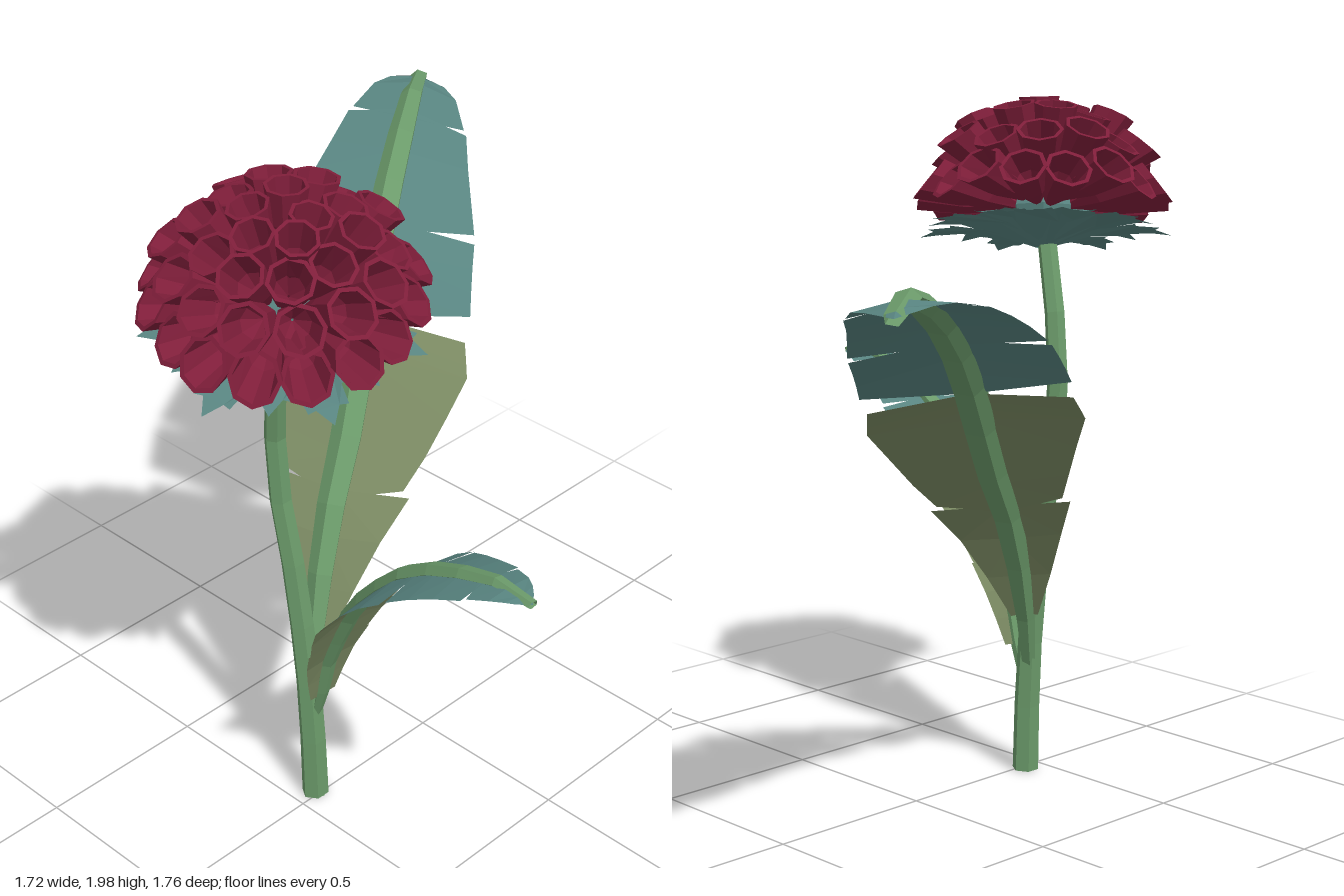
import * as THREE from 'three';
import { mergeGeometries } from 'three/addons/utils/BufferGeometryUtils.js';

const V = (x, y, z) => new THREE.Vector3(x, y, z);
const mat = (name, color) => {
  const m = new THREE.MeshStandardMaterial({ color, flatShading: true, side: THREE.DoubleSide });
  m.name = name;
  return m;
};

function addMesh(parent, name, geometry, material) {
  const mesh = new THREE.Mesh(geometry, material);
  mesh.name = name;
  parent.add(mesh);
  return mesh;
}

// Tube whose radius follows a list spread evenly along the curve, widened along one direction
function taperedTube(curve, segments, sides, radii, wideDir, widen) {
  const g = new THREE.TubeGeometry(curve, segments, 1, sides, false);
  const pos = g.attributes.position, p = V(0, 0, 0);
  for (let i = 0; i <= segments; i++) {
    const centre = curve.getPointAt(i / segments);
    const f = (i / segments) * (radii.length - 1), k = Math.min(Math.floor(f), radii.length - 2);
    const r = THREE.MathUtils.lerp(radii[k], radii[k + 1], f - k);
    for (let j = 0; j <= sides; j++) {
      const n = i * (sides + 1) + j;
      p.fromBufferAttribute(pos, n).sub(centre).multiplyScalar(r);
      p.addScaledVector(wideDir, p.dot(wideDir) * widen).add(centre);
      pos.setXYZ(n, p.x, p.y, p.z);
    }
  }
  return g;
}

// One torn section of a blade: [innerStart, innerEnd, outerStart, width, outerEnd, width]
function lobeGeometry(curve, count, side, droop, [a, b, c, w0, d, w1]) {
  const steps = 3, verts = [], index = [];
  const at = u => curve.getPoint(Math.min(u / (count - 1), 1));
  for (let i = 0; i <= steps; i++) {
    const t = i / steps, lerp = THREE.MathUtils.lerp;
    const inner = at(lerp(a, b, t)), w = lerp(w0, w1, t);
    const outer = at(lerp(c, d, t)).addScaledVector(side, w);
    outer.y -= droop * w;
    verts.push(...inner.toArray(), ...outer.toArray());
    if (i) index.push(2 * i - 2, 2 * i - 1, 2 * i, 2 * i - 1, 2 * i + 1, 2 * i);
  }
  const g = new THREE.BufferGeometry();
  g.setAttribute('position', new THREE.Float32BufferAttribute(verts, 3));
  g.setIndex(index);
  g.computeVertexNormals();
  return g;
}

function makeLeaf(name, points, side, droops, lobes, lowerLobes, ribRadii, mats) {
  const leaf = new THREE.Group();
  leaf.name = name;
  const curve = new THREE.CatmullRomCurve3(points.map(p => V(...p)));
  addMesh(leaf, 'midrib', taperedTube(curve, 11, 5, ribRadii, side, 0.35), mats.stem);
  [1, -1].forEach((s, k) => {
    const dir = side.clone().multiplyScalar(s);
    const parts = lobes.map(l => lobeGeometry(curve, points.length, dir, droops[k], l));
    addMesh(leaf, 'lowerBlade', mergeGeometries(parts.slice(0, lowerLobes)), mats.olive);
    addMesh(leaf, 'upperBlade', mergeGeometries(parts.slice(lowerLobes)), mats.teal);
  });
  return leaf;
}

// Hollow cup petal, mouth at the origin, lower lip longer
function petalGeometry(radius, length, lip) {
  const profile = [[0.2, -1], [0.75, -0.5], [1, 0], [0.83, 0], [0.62, -0.45], [0.05, -0.7]];
  const g = new THREE.LatheGeometry(
    profile.map(([r, y]) => new THREE.Vector2(r * radius, y * length)), 8);
  const pos = g.attributes.position;
  for (let i = 0; i < pos.count; i++) {
    const open = 1 + pos.getY(i) / length;
    pos.setY(i, pos.getY(i) + lip * open * pos.getZ(i));
  }
  g.computeVertexNormals();
  return g;
}

// Pointed, notched sepal running out along +x
function sepalGeometry(length, width, lift) {
  const half = [[0.05, 0.2], [0.4, 0.8], [0.68, 1], [0.7, 0.75], [0.88, 0.7], [0.86, 0.4]];
  const shape = new THREE.Shape();
  shape.moveTo(0.05 * length, 0);
  half.forEach(([x, w]) => shape.lineTo(x * length, w * width));
  shape.lineTo(length, 0);
  half.slice().reverse().forEach(([x, w]) => shape.lineTo(x * length, -w * width));
  const g = new THREE.ShapeGeometry(shape);
  g.rotateX(-Math.PI / 2);
  const pos = g.attributes.position;
  for (let i = 0; i < pos.count; i++) {
    const t = pos.getX(i) / length;
    pos.setY(i, lift * Math.sin(t * 2.1) + 0.15 * Math.abs(pos.getZ(i)));
  }
  g.computeVertexNormals();
  return g;
}

function makeFlower(mats) {
  const flower = new THREE.Group();
  flower.name = 'flowerHead';
  flower.position.set(0.01, 1.66, 0.51);
  flower.quaternion.setFromUnitVectors(V(0, 1, 0), V(0.19, 1, 0.2).normalize());

  // Rings of petals over a flattened dome:
  // [tilt, distance from axis, height, count, mouth radius, length, lip]
  const rings = [[13, 0.09, 0.295, 5, 0.058, 0.2, 0], [32, 0.19, 0.26, 10, 0.063, 0.22, 0.15],
    [55, 0.275, 0.175, 13, 0.067, 0.23, 0.3], [77, 0.325, 0.065, 16, 0.068, 0.24, 0.45]];
  rings.forEach(([deg, out, height, count, radius, length, lip], ring) => {
    const parts = [];
    for (let i = 0; i < count; i++) {
      const wobble = 0.012 * Math.sin(i * 2.4 + ring);
      const g = petalGeometry(radius, length, lip);
      g.rotateX(THREE.MathUtils.degToRad(deg));
      g.translate(0, height + wobble, out + wobble);
      g.rotateY(((i + ring * 0.5) / count) * Math.PI * 2);
      parts.push(g);
    }
    addMesh(flower, 'petalRing', mergeGeometries(parts), mats.petal);
  });

  // Green heart and sepals under the petals
  const heart = addMesh(flower, 'receptacle', new THREE.SphereGeometry(0.11, 8, 6), mats.teal);
  heart.scale.y = 0.8;
  const sepals = [];
  for (let i = 0; i < 14; i++) {
    const odd = i % 2;
    const g = sepalGeometry(odd ? 0.375 : 0.33, 0.075, odd ? 0.05 : 0.07);
    g.translate(0, odd ? -0.11 : -0.12, 0);
    g.rotateY((i / 14) * Math.PI * 2);
    sepals.push(g);
  }
  addMesh(flower, 'sepals', mergeGeometries(sepals), mats.teal);
  return flower;
}

export function createModel() {
  const model = new THREE.Group();
  model.name = 'flower';
  const mats = {
    stem: mat('stemGreen', 0x6b9a6a),
    olive: mat('leafOlive', 0x7a8962),
    teal: mat('leafTeal', 0x588480),
    petal: mat('petalCrimson', 0x7f1e3a),
  };

  // Stem
  const stemCurve = new THREE.CatmullRomCurve3([[-0.015, 0, 0.435], [-0.025, 0.35, 0.435],
    [-0.065, 0.75, 0.44], [-0.11, 1.02, 0.445], [-0.11, 1.27, 0.45], [-0.03, 1.56, 0.49]]
    .map(p => V(...p)));
  addMesh(model, 'stem',
    taperedTube(stemCurve, 8, 6, [0.038, 0.034, 0.03, 0.027], V(0, 0, 1), 0.08), mats.stem);
  const cap = addMesh(model, 'stemBase', new THREE.CircleGeometry(0.036, 6), mats.stem);
  cap.rotation.x = Math.PI / 2;
  cap.position.set(-0.015, 0.001, 0.435);

  // Large leaf, arching back and to the right
  model.add(makeLeaf('largeLeaf',
    [[-0.03, 0.3, 0.43], [-0.08, 0.55, 0.35], [-0.14, 0.8, 0.23], [-0.21, 1.0, 0.08],
      [-0.31, 1.22, -0.09], [-0.43, 1.385, -0.27], [-0.58, 1.52, -0.5],
      [-0.78, 1.595, -0.79], [-0.84, 1.565, -0.865]],
    V(0.86, 0, -0.51), [0.3, 0.04],
    [[0.8, 2.3, 0.8, 0.04, 2.5, 0.2], [2.2, 3.7, 2.55, 0.18, 3.85, 0.3],
      [3.7, 4.1, 3.85, 0.3, 4.2, 0.28],
      [4.1, 5.2, 4.5, 0.285, 5.3, 0.265], [5.1, 6.5, 5.4, 0.26, 6.45, 0.18],
      [6.4, 8, 6.5, 0.17, 7.6, 0.04]],
    3, [0.014, 0.03, 0.037, 0.036, 0.032, 0.02], mats));

  // Small leaf, arching to the left
  model.add(makeLeaf('smallLeaf',
    [[-0.01, 0.28, 0.43], [0.03, 0.4, 0.435], [0.06, 0.52, 0.44], [0.12, 0.65, 0.45],
      [0.19, 0.78, 0.46], [0.29, 0.9, 0.475], [0.38, 0.995, 0.485], [0.48, 1.065, 0.49],
      [0.62, 1.13, 0.5], [0.78, 1.17, 0.505], [0.85, 1.157, 0.51]],
    V(-0.05, 0, 1), [0.15, 0.15],
    [[0.8, 2.8, 0.9, 0.045, 2.9, 0.11], [2.7, 4.3, 2.8, 0.1, 4.85, 0.18],
      [4.3, 6.9, 5.05, 0.185, 7.0, 0.165], [6.8, 8.5, 7.1, 0.155, 8.5, 0.1],
      [8.4, 10, 8.55, 0.09, 9.6, 0.03]],
    2, [0.012, 0.02, 0.025, 0.024, 0.02, 0.012], mats));

  model.add(makeFlower(mats));
  return model;
}
